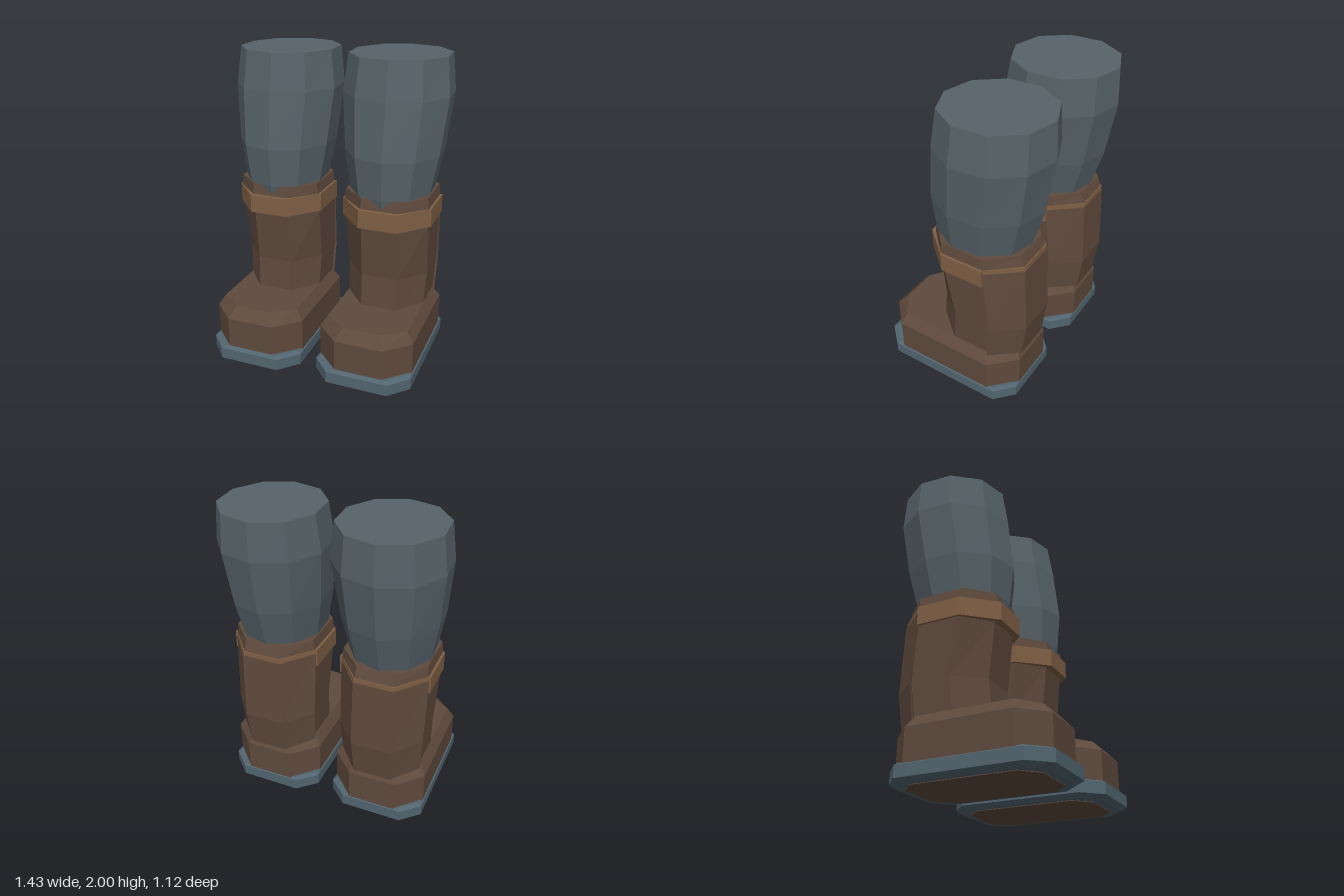
import * as THREE from 'three';

const paint = (name, color) => {
  const m = new THREE.MeshStandardMaterial({ color, flatShading: true });
  m.name = name;
  return m;
};

// Ring with chamfered corners: half width w, half flat f, z of front, front side, back side, back
const octagon = (y, w, f, zF, zf, zb, zB) => ({
  y,
  pts: [[f, zF], [w, zf], [w, zb], [f, zB], [-f, zB], [-w, zb], [-w, zf], [-f, zF]],
});

// Slightly turned ten-sided ring
const decagon = (y, cz, rx, rz) => ({
  y,
  pts: Array.from({ length: 10 }, (_, i) => {
    const a = 0.07 + (i * Math.PI) / 5;
    return [rx * Math.sin(a), cz + rz * Math.cos(a)];
  }),
});

// Closed faceted solid through rings listed from bottom to top
function loft(name, material, rings) {
  const pos = [];
  const n = rings[0].pts.length;
  const put = (ring, i) => pos.push(ring.pts[i % n][0], ring.y, ring.pts[i % n][1]);
  for (let r = 0; r < rings.length - 1; r++) {
    const lo = rings[r], hi = rings[r + 1];
    for (let i = 0; i < n; i++) {
      put(lo, i); put(lo, i + 1); put(hi, i + 1);
      put(lo, i); put(hi, i + 1); put(hi, i);
    }
  }
  const bottom = rings[0], top = rings[rings.length - 1];
  for (let i = 1; i < n - 1; i++) {
    put(top, 0); put(top, i); put(top, i + 1);
    put(bottom, 0); put(bottom, i + 1); put(bottom, i);
  }
  const g = new THREE.BufferGeometry();
  g.setAttribute('position', new THREE.Float32BufferAttribute(pos, 3));
  g.computeVertexNormals();
  const mesh = new THREE.Mesh(g, material);
  mesh.name = name;
  return mesh;
}

export function createModel() {
  const cloth = paint('slate cloth', 0x566369);
  const rubber = paint('slate sole', 0x526570);
  const leather = paint('brown leather', 0x5f4a3d);
  const strap = paint('tan strap', 0x806045);

  function makeLeg(name) {
    const leg = new THREE.Group();
    leg.name = name;

    // Trouser leg
    leg.add(loft('trouserLeg', cloth, [
      decagon(1.0, -0.12, 0.25, 0.28),
      decagon(1.15, -0.115, 0.272, 0.312),
      decagon(1.4, -0.14, 0.317, 0.36),
      decagon(1.76, -0.19, 0.353, 0.37),
      decagon(2.0, -0.205, 0.325, 0.345),
    ]));

    // Boot shaft with the cuff above the strap
    leg.add(loft('bootShaft', leather, [
      octagon(0.36, 0.26, 0.115, 0.15, -0.02, -0.27, -0.43),
      octagon(0.6, 0.27, 0.12, 0.13, -0.05, -0.3, -0.465),
      octagon(0.96, 0.28, 0.12, 0.165, 0.01, -0.27, -0.455),
      octagon(1.08, 0.28, 0.12, 0.185, 0.03, -0.27, -0.455),
      octagon(1.15, 0.27, 0.12, 0.172, 0.03, -0.27, -0.43),
    ]));

    // Strap round the front and sides
    const strapRing = (y) => ({
      y,
      pts: [[0.125, 0.21], [0.295, 0.02], [0.295, -0.27], [-0.295, -0.27], [-0.295, 0.02], [-0.125, 0.21]],
    });
    leg.add(loft('strap', strap, [strapRing(0.96), strapRing(1.08)]));

    // Back panel and the thin strap edge above it
    const backRing = (y, w, f, zSide, zBack) => ({
      y, pts: [[w, zSide], [f, zBack], [-f, zBack], [-w, zSide]],
    });
    leg.add(loft('backPanel', leather, [
      backRing(0.35, 0.272, 0.125, -0.28, -0.45),
      backRing(0.6, 0.281, 0.13, -0.305, -0.485),
      backRing(1.05, 0.286, 0.13, -0.268, -0.465),
    ]));
    leg.add(loft('strapBack', strap, [
      backRing(1.05, 0.284, 0.125, -0.268, -0.461),
      backRing(1.08, 0.284, 0.125, -0.268, -0.461),
    ]));

    // Foot
    leg.add(loft('bootFoot', leather, [
      octagon(0.1, 0.31, 0.155, 0.535, 0.385, -0.3, -0.455),
      octagon(0.32, 0.31, 0.155, 0.535, 0.385, -0.3, -0.455),
      octagon(0.39, 0.265, 0.12, 0.47, 0.365, -0.26, -0.42),
    ]));

    // Sole and tread
    leg.add(loft('sole', rubber, [
      octagon(0.004, 0.285, 0.18, 0.525, 0.42, -0.33, -0.425),
      octagon(0.03, 0.318, 0.2, 0.565, 0.44, -0.35, -0.46),
      octagon(0.105, 0.318, 0.2, 0.565, 0.44, -0.35, -0.46),
      octagon(0.118, 0.3, 0.185, 0.54, 0.425, -0.34, -0.445),
    ]));
    leg.add(loft('tread', leather, [
      octagon(0, 0.255, 0.15, 0.47, 0.37, -0.28, -0.385),
      octagon(0.005, 0.255, 0.15, 0.47, 0.37, -0.28, -0.385),
    ]));
    return leg;
  }

  const model = new THREE.Group();
  model.name = 'bootedLegs';
  for (const [name, x] of [['leftLeg', 0.374], ['rightLeg', -0.374]]) {
    const leg = makeLeg(name);
    leg.position.x = x;
    model.add(leg);
  }
  return model;
}
